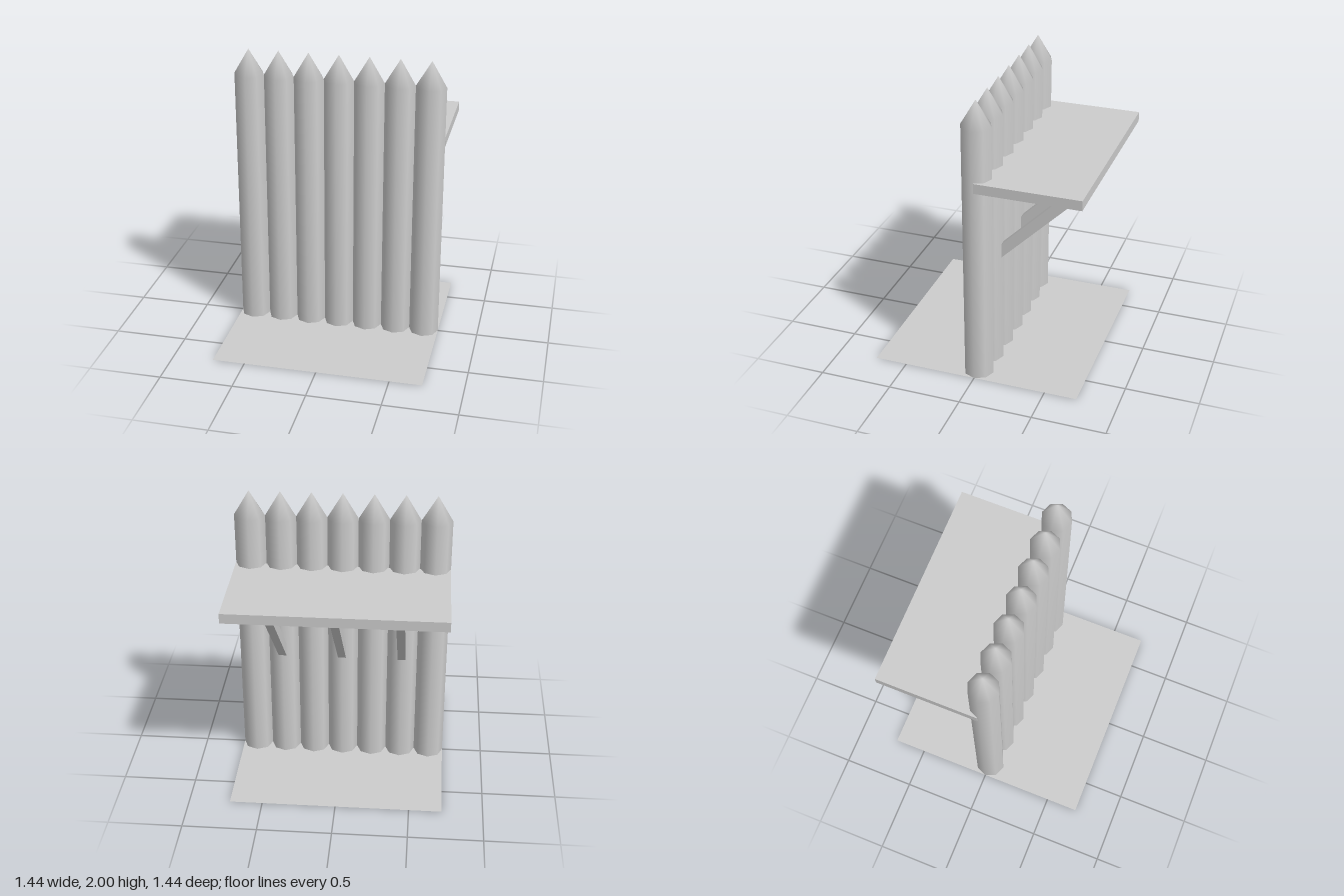
import * as THREE from 'three';

const timber = new THREE.MeshStandardMaterial({ color: 0xcccccc });
timber.name = 'plainGrey';
const groundGrey = new THREE.MeshStandardMaterial({ color: 0xcccccc, side: THREE.DoubleSide });
groundGrey.name = 'groundGrey';

const HALF = 0.722;      // half width of the wall and ground
const POLES = 7;
const RADIUS = HALF / POLES;
const SIDES = 8;

// Eight-sided shaft with a smooth pointed tip
function poleGeometry() {
  const profile = [[RADIUS, 0], [RADIUS, 1.825], [0, 2]].map(([x, y]) => new THREE.Vector2(x, y));
  const geometry = new THREE.LatheGeometry(profile, SIDES);
  const { position, normal } = geometry.attributes;
  for (let i = 0; i < position.count; i++) {
    if (position.getY(i) > 1.99) normal.setXYZ(i, 0, 1, 0);
  }
  return geometry;
}

// Diagonal strut, outlined in side view (depth behind the wall, height)
function braceGeometry(width) {
  const outline = [[0.1, 0.81], [0.71, 1.415], [0.605, 1.415], [0.1, 0.91]];
  const shape = new THREE.Shape(outline.map(([d, y]) => new THREE.Vector2(d, y)));
  const geometry = new THREE.ExtrudeGeometry(shape, { depth: width, bevelEnabled: false });
  geometry.translate(0, 0, -width / 2);
  geometry.rotateY(Math.PI / 2);
  return geometry;
}

export function createModel() {
  const model = new THREE.Group();
  model.name = 'palisade';
  const add = (name, geometry, material, x = 0, y = 0, z = 0) => {
    const mesh = new THREE.Mesh(geometry, material);
    mesh.name = name;
    mesh.position.set(x, y, z);
    model.add(mesh);
    return mesh;
  };

  // Ground sheet
  const ground = new THREE.PlaneGeometry(HALF * 2, HALF * 2).rotateX(-Math.PI / 2);
  add('ground', ground, groundGrey, 0, 0.002, 0);

  // Row of sharpened poles with closed feet
  const pole = poleGeometry();
  const foot = new THREE.CircleGeometry(RADIUS, SIDES).rotateX(Math.PI / 2);
  for (let i = 0; i < POLES; i++) {
    const x = (i - (POLES - 1) / 2) * RADIUS * 2;
    add(`pole${i + 1}`, pole, timber, x);
    add(`poleFoot${i + 1}`, foot, timber, x);
  }

  // Walkway behind the wall
  const depth = HALF - 0.015;
  add('walkway', new THREE.BoxGeometry(HALF * 2, 0.068, depth), timber, 0, 1.442, -0.015 - depth / 2);

  // Struts under the walkway, one on every second pole
  const brace = braceGeometry(0.055);
  [-1, 0, 1].forEach((i) => add(`brace${i + 2}`, brace, timber, i * RADIUS * 4));

  return model;
}
